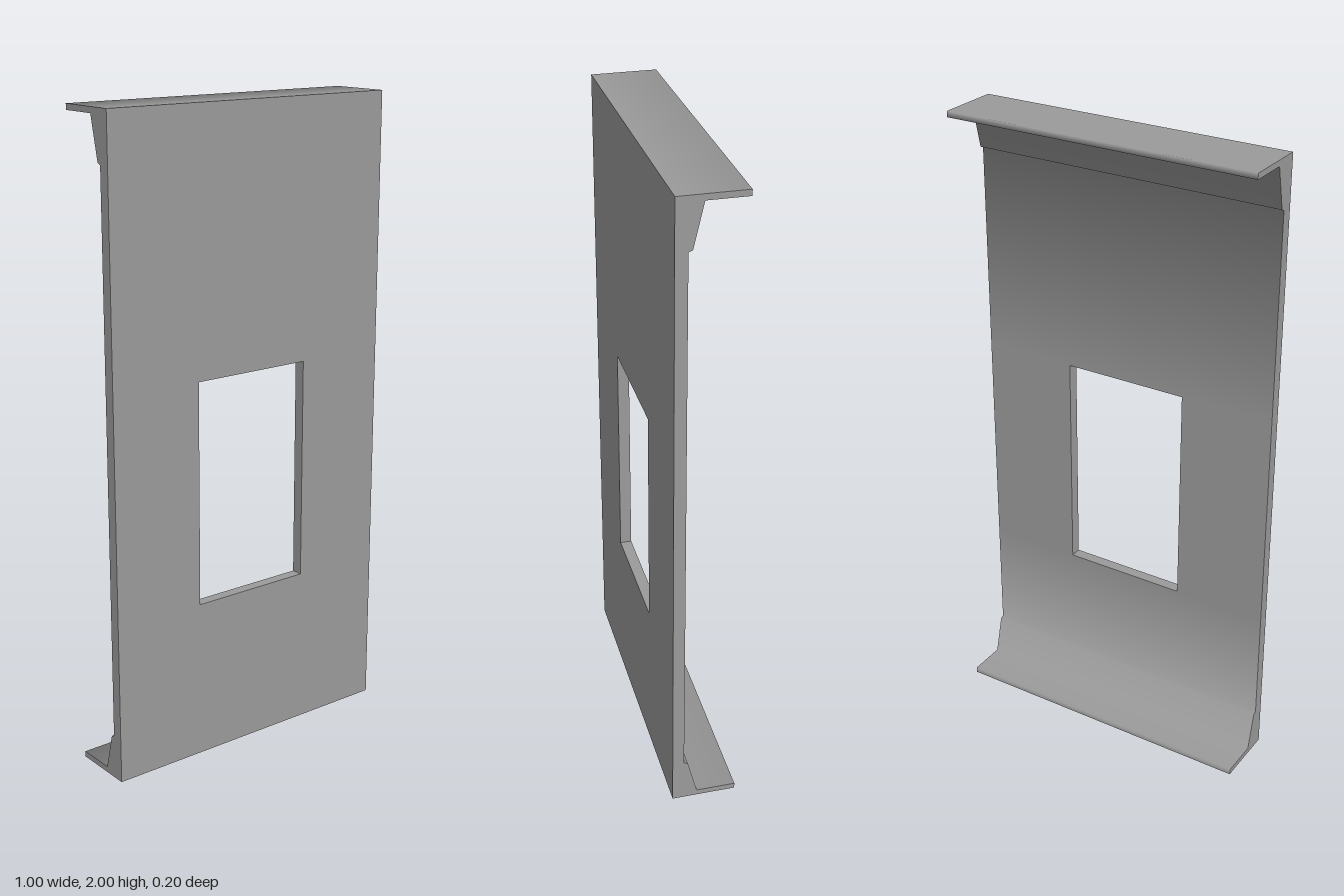
import * as THREE from 'three';

const W = 0.5, FRONT = 0.1, BACK = 0.064;
const HOLE = { x: 0.2, y0: 0.5, y1: 1.2 };

// Half a channel cross-section as [z, distance from the outer face], from the front edge round to the panel
const half = ledge => [[FRONT, 0], [-0.1, 0], [-0.1, 0.018], [0.022, 0.018], [0.052, ledge - 0.005], [BACK, ledge]];
const upper = half(0.153).map(([z, d]) => [z, 2 - d]);
const lower = half(0.14).reverse();
const profile = [...upper, [BACK, HOLE.y1], [BACK, HOLE.y0], ...lower];

// Flanges, fillets and back of the panel: one smooth sheet swept along x, with the window left out
function sweptSheet(path) {
  const xs = [-W, -HOLE.x, HOLE.x, W];
  const segNormals = path.slice(1).map(([z, y], i) =>
    new THREE.Vector3(0, path[i][0] - z, y - path[i][1]).normalize());
  const pos = [], nor = [], index = [];
  path.forEach(([z, y], i) => {
    const n = new THREE.Vector3();
    if (i > 0) n.add(segNormals[i - 1]);
    if (i < segNormals.length) n.add(segNormals[i]);
    n.normalize();
    for (const x of xs) {
      pos.push(x, y, z);
      nor.push(n.x, n.y, n.z);
    }
  });
  for (let i = 0; i < path.length - 1; i++) {
    for (let j = 0; j < 3; j++) {
      if (j === 1 && path[i][1] === HOLE.y1 && path[i + 1][1] === HOLE.y0) continue;
      const a = i * 4 + j, b = a + 1, c = a + 4, d = c + 1;
      index.push(a, b, c, b, d, c);
    }
  }
  const g = new THREE.BufferGeometry();
  g.setAttribute('position', new THREE.Float32BufferAttribute(pos, 3));
  g.setAttribute('normal', new THREE.Float32BufferAttribute(nor, 3));
  g.setIndex(index);
  return g;
}

function rectangle(Type, x, y0, y1) {
  return new Type([[-x, y0], [x, y0], [x, y1], [-x, y1]].map(p => new THREE.Vector2(...p)));
}

export function createModel() {
  const group = new THREE.Group();
  group.name = 'wallPanel';
  const material = new THREE.MeshStandardMaterial({ color: 0x9b9b9b });
  const add = (name, geometry) => {
    const mesh = new THREE.Mesh(geometry, material);
    mesh.name = name;
    group.add(mesh);
    return mesh;
  };

  add('flangesAndBack', sweptSheet(profile.slice(0, -1)));

  // Flat underside of the bottom flange
  add('underside', new THREE.PlaneGeometry(W * 2, FRONT * 2)).rotation.x = Math.PI / 2;

  // Flat front face with the window opening
  const face = rectangle(THREE.Shape, W, 0, 2);
  face.holes.push(rectangle(THREE.Path, HOLE.x, HOLE.y0, HOLE.y1));
  add('frontFace', new THREE.ShapeGeometry(face)).position.z = FRONT;

  // End caps and window jambs, mirrored left and right
  const depth = FRONT - BACK, midZ = (FRONT + BACK) / 2;
  const holeH = HOLE.y1 - HOLE.y0, midY = (HOLE.y0 + HOLE.y1) / 2;
  for (const s of [1, -1]) {
    const side = s > 0 ? 'left' : 'right';
    const section = new THREE.Shape(profile.map(([z, y]) => new THREE.Vector2(-s * z, y)));
    const cap = add(side + 'EndCap', new THREE.ShapeGeometry(section));
    cap.rotation.y = s * Math.PI / 2;
    cap.position.x = s * W;

    const jamb = add(side + 'WindowJamb', new THREE.PlaneGeometry(depth, holeH));
    jamb.rotation.y = -s * Math.PI / 2;
    jamb.position.set(s * HOLE.x, midY, midZ);

    // Window sill (faces up) and head (faces down)
    const ledge = add(s > 0 ? 'windowHead' : 'windowSill', new THREE.PlaneGeometry(HOLE.x * 2, depth));
    ledge.rotation.x = s * Math.PI / 2;
    ledge.position.set(0, s > 0 ? HOLE.y1 : HOLE.y0, midZ);
  }
  return group;
}
